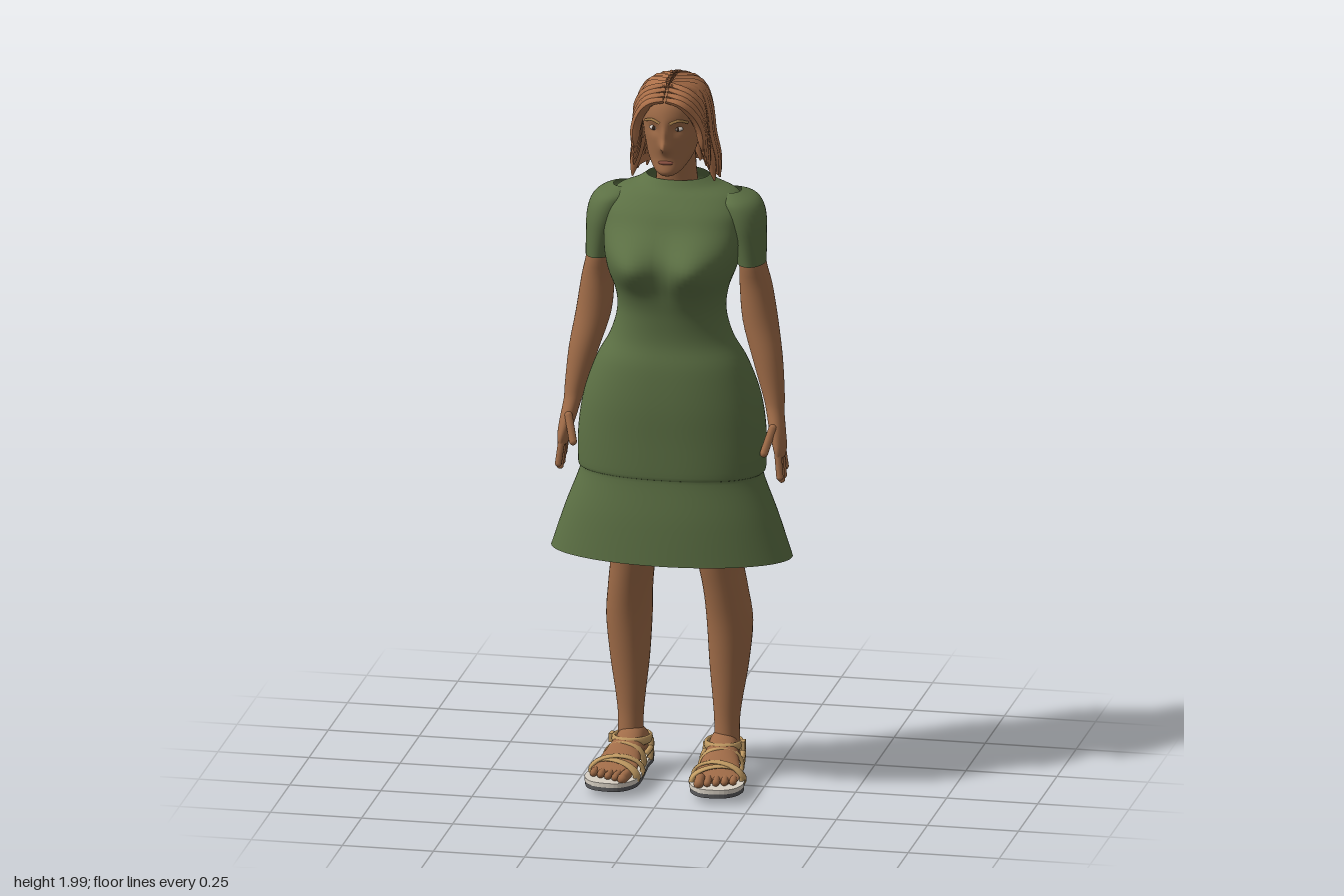
import * as THREE from 'three';

const mat = (name, color, side = THREE.FrontSide) => {
  const m = new THREE.MeshStandardMaterial({ color, side });
  m.name = name;
  return m;
};
const V = (x, y, z) => new THREE.Vector3(x, y, z);
const bump = (d, w) => Math.exp(-(d * d) / (w * w));

// Smooth interpolation of one column of a row table
function column(rows, c, t) {
  const i = Math.min(Math.floor(t), rows.length - 2), f = t - i;
  const at = (k) => rows[Math.max(0, Math.min(rows.length - 1, k))][c];
  const [a, b, d, e] = [at(i - 1), at(i), at(i + 1), at(i + 2)];
  return b + 0.5 * f * (d - a + f * (2 * a - 5 * b + 4 * d - e + f * (3 * (b - d) + e - a)));
}

// Loft of rounded sections, rows rising in y: [y, centre x, half width, front z, back z, squareness]
function loft(rows, { n = 32, sub = 4, caps = true, shape } = {}) {
  const pos = [], idx = [], count = (rows.length - 1) * sub + 1;
  const pw = (v, p) => Math.sign(v) * Math.abs(v) ** (2 / p);
  for (let r = 0; r < count; r++) {
    const [y, cx, rx, zf, zb] = [0, 1, 2, 3, 4].map((c) => column(rows, c, r / sub));
    const p = rows[0].length > 5 ? column(rows, 5, r / sub) : 2;
    for (let i = 0; i < n; i++) {
      const a = (i / n) * Math.PI * 2;
      const v = V(cx + rx * pw(Math.sin(a), p), y, (zf + zb) / 2 + ((zf - zb) / 2) * pw(Math.cos(a), p));
      if (shape) shape(v, Math.cos(a));
      pos.push(v.x, v.y, v.z);
      if (r < count - 1) {
        const q = r * n + i, s = r * n + ((i + 1) % n);
        idx.push(q, s, q + n, s, s + n, q + n);
      }
    }
  }
  if (caps) for (const r of [0, count - 1]) {
    const [y, cx, , zf, zb] = rows[r ? rows.length - 1 : 0], c = pos.length / 3;
    pos.push(cx, y, (zf + zb) / 2);
    for (let i = 0; i < n; i++) {
      const q = r * n + i, s = r * n + ((i + 1) % n);
      idx.push(...(r ? [q, s, c] : [s, q, c]));
    }
  }
  const g = new THREE.BufferGeometry();
  g.setAttribute('position', new THREE.Float32BufferAttribute(pos, 3));
  g.setIndex(idx);
  g.computeVertexNormals();
  return g;
}

// Tapering lock along a curve
function lock(points, radius) {
  const curve = new THREE.CatmullRomCurve3(points), segs = 18, sides = 7;
  const g = new THREE.TubeGeometry(curve, segs, radius, sides), p = g.attributes.position;
  for (let i = 0; i < p.count; i++) {
    const t = Math.floor(i / (sides + 1)) / segs, c = curve.getPointAt(t);
    const k = (0.55 + 0.45 * Math.min(1, t * 3)) * (t > 0.75 ? 1 - ((t - 0.75) / 0.25) ** 2 * 0.85 : 1);
    const v = V(0, 0, 0).fromBufferAttribute(p, i).sub(c).multiplyScalar(k).add(c);
    p.setXYZ(i, v.x, v.y, v.z);
  }
  g.computeVertexNormals();
  return g;
}

// Capsule between two points, for fingers and toes
function digit(a, b, r) {
  const d = b.clone().sub(a), g = new THREE.CapsuleGeometry(r, d.length(), 4, 10);
  g.applyQuaternion(new THREE.Quaternion().setFromUnitVectors(V(0, 1, 0), d.normalize()));
  const m = a.clone().add(b).multiplyScalar(0.5);
  return g.translate(m.x, m.y, m.z);
}

export function createModel() {
  const model = new THREE.Group();
  const skin = mat('skin', 0xa06c48), hair = mat('hair', 0xac7049, THREE.DoubleSide);
  const cloth = mat('green cloth', 0x5c7044, THREE.DoubleSide), leather = mat('tan leather', 0xc09a62);
  const rubber = mat('grey sole', 0x5a5a5c), cream = mat('cream insole', 0xd8d0c4);
  const white = mat('eye white', 0xd8d0c8), dark = mat('iris', 0x3a2a20);
  const lip = mat('lips', 0x8a5040), brow = mat('brows', 0xa9814c);
  const add = (parent, name, geo, m) => {
    const mesh = new THREE.Mesh(geo, m);
    mesh.name = name;
    parent.add(mesh);
    return mesh;
  };
  const group = (name, parent = model) => {
    const g = new THREE.Group();
    g.name = name;
    parent.add(g);
    return g;
  };
  const ball = (x, y, z, sx, sy, sz) => new THREE.SphereGeometry(1, 20, 14).scale(sx, sy, sz).translate(x, y, z);

  // Dress: flared skirt, small ledge at the hips, bust and seat
  add(model, 'dress', loft([
    [0.66, 0, 0.33, 0.175, -0.14, 2], [0.78, 0, 0.29, 0.166, -0.128, 2.1], [0.885, 0, 0.25, 0.152, -0.115, 2.2],
    [0.905, 0, 0.255, 0.156, -0.128, 2.3], [1.0, 0, 0.255, 0.157, -0.135, 2.3], [1.1, 0, 0.24, 0.158, -0.14, 2.3],
    [1.2, 0, 0.205, 0.15, -0.12, 2.3], [1.27, 0, 0.167, 0.136, -0.098, 2.2], [1.34, 0, 0.147, 0.138, -0.1, 2.2],
    [1.4, 0, 0.151, 0.145, -0.118, 2.3], [1.46, 0, 0.172, 0.148, -0.138, 2.4], [1.52, 0, 0.185, 0.138, -0.148, 2.5],
    [1.58, 0, 0.19, 0.1, -0.155, 2.5], [1.62, 0, 0.188, 0.076, -0.157, 2.4], [1.655, 0, 0.165, 0.045, -0.152, 2.2],
    [1.677, 0, 0.115, 0.022, -0.142, 2], [1.697, 0, 0.085, 0.008, -0.13, 2],
  ], {
    n: 72, sub: 5, caps: false,
    shape: (v, c) => {
      const sides = (w) => bump(Math.abs(v.x) - 0.085, w);
      if (c > 0) v.z += 0.052 * sides(0.07) * bump(v.y - 1.49, 0.065);
      else v.z -= 0.054 * sides(0.085) * bump(v.y - 1.07, 0.095);
    },
  }), cloth);

  // Neck and head, with nose, brow, sockets and chin shaped into the face
  const head = group('head');
  add(head, 'neck', loft([[1.62, 0, 0.07, 0.0, -0.12], [1.69, 0, 0.056, 0.005, -0.1], [1.8, 0, 0.052, 0.03, -0.09]]), skin);
  add(head, 'face', loft([
    [1.735, 0, 0.018, 0.096, 0.06], [1.748, 0, 0.038, 0.106, 0.01], [1.78, 0, 0.06, 0.102, -0.05],
    [1.815, 0, 0.07, 0.107, -0.085], [1.85, 0, 0.077, 0.111, -0.1], [1.9, 0, 0.08, 0.116, -0.11],
    [1.945, 0, 0.071, 0.1, -0.1], [1.98, 0, 0.035, 0.055, -0.05],
  ], {
    n: 96, sub: 6,
    shape: (v, c) => {
      if (c <= 0) return;
      const ax = Math.abs(v.x);
      v.z += bump(v.x, 0.012) * (0.032 * bump(v.y - 1.822, 0.016) + 0.015 * bump(v.y - 1.85, 0.028));
      v.z -= 0.009 * bump(ax - 0.033, 0.018) * bump(v.y - 1.87, 0.015);
    },
  }), skin);
  add(head, 'mouth', ball(0, 1.774, 0.1, 0.021, 0.006, 0.007), lip);
  for (const s of [1, -1]) {
    add(head, 'eye', ball(s * 0.033, 1.87, 0.093, 0.013, 0.007, 0.008), white);
    add(head, 'iris', ball(s * 0.033, 1.87, 0.098, 0.005, 0.006, 0.004), dark);
    add(head, 'eyebrow', new THREE.TubeGeometry(new THREE.CatmullRomCurve3(
      [V(s * 0.013, 1.888, 0.114), V(s * 0.036, 1.896, 0.107), V(s * 0.058, 1.888, 0.088)]), 8, 0.004, 6), brow);
    add(head, 'ear', ball(s * 0.081, 1.845, 0.018, 0.01, 0.03, 0.018).rotateY(0), skin);
  }

  // Bobbed hair: cap, rear curtain and heavy locks fanning from a middle parting
  const bob = group('hair', head);
  add(bob, 'cap', new THREE.SphereGeometry(1, 32, 16, 0, Math.PI * 2, 0, Math.PI * 0.36)
    .scale(0.089, 0.115, 0.125).translate(0, 1.872, -0.012), hair);
  const curtain = new THREE.CylinderGeometry(1, 1.18, 0.22, 32, 4, true, Math.PI * 0.46, Math.PI * 1.08);
  add(bob, 'curtain', curtain.scale(0.088, 1, 0.098).translate(0, 1.825, -0.035), hair);
  for (const s of [1, -1]) {
    const count = 12;
    for (let i = 0; i < count; i++) {
      const u = i / (count - 1), a = THREE.MathUtils.degToRad(70 + 107 * u);
      const ring = (y, rx, cz, rz) => V(s * rx * Math.sin(a), y, cz + rz * Math.cos(a));
      const z0 = 0.07 - 0.12 * u;
      add(bob, 'longLock', lock([
        V(s * 0.004, 1.986 - 1.6 * (z0 - 0.01) ** 2, z0),
        ring(1.955, 0.068, -0.005 - 0.012 * u, 0.085), ring(1.9, 0.086, -0.022, 0.108),
        ring(1.82, 0.094, -0.032, 0.108), ring(1.745, 0.112, -0.038, 0.108),
        ring(1.7 + 0.012 * (i % 2), 0.12, -0.038, 0.106),
      ], 0.0165 + 0.002 * (i % 2)), hair);
    }
    // Shorter locks framing the forehead and temples
    for (let i = 0; i < 4; i++) {
      const k = i / 3;
      add(bob, 'frontLock', lock([
        V(s * 0.004, 1.952 + 0.03 * k, 0.108 - 0.045 * k), V(s * (0.04 + 0.012 * k), 1.945 + 0.023 * k, 0.112 - 0.04 * k),
        V(s * (0.073 + 0.01 * k), 1.905 + 0.02 * k, 0.085 - 0.033 * k), V(s * 0.09, 1.855, 0.066 - 0.03 * k),
        V(s * (0.093 + 0.01 * k), 1.8 - 0.06 * k, 0.06 - 0.035 * k),
      ], 0.014), hair);
    }
  }

  for (const s of [1, -1]) {
    const side = s > 0 ? 'left' : 'right';
    // Short sleeve
    add(model, side + 'Sleeve', loft([
      [1.47, s * 0.208, 0.038, 0.028, -0.1], [1.53, s * 0.2, 0.046, 0.034, -0.115], [1.58, s * 0.19, 0.055, 0.038, -0.128],
      [1.62, s * 0.178, 0.058, 0.034, -0.135], [1.645, s * 0.165, 0.05, 0.02, -0.13], [1.662, s * 0.15, 0.025, -0.02, -0.09],
    ], { caps: false }), cloth);

    // Arm and hand
    const arm = group(side + 'Arm');
    add(arm, 'arm', loft([
      [0.945, s * 0.298, 0.013, 0.056, -0.018], [0.97, s * 0.296, 0.017, 0.058, -0.027], [1.01, s * 0.288, 0.021, 0.046, -0.031],
      [1.06, s * 0.278, 0.024, 0.022, -0.042], [1.1, s * 0.272, 0.029, 0.014, -0.053], [1.2, s * 0.252, 0.041, 0.008, -0.074],
      [1.3, s * 0.229, 0.048, -0.001, -0.098], [1.4, s * 0.217, 0.044, -0.0, -0.098], [1.47, s * 0.209, 0.036, 0.01, -0.09],
      [1.56, s * 0.2, 0.036, 0.01, -0.09],
    ]), skin);
    for (let i = 0; i < 4; i++) {
      const z = 0.047 - i * 0.0205, drop = [0.895, 0.882, 0.887, 0.905][i];
      add(arm, 'finger', digit(V(s * 0.297, 0.955, z), V(s * 0.304, drop, z + 0.008 - i * 0.003), 0.0095), skin);
    }
    add(arm, 'thumb', digit(V(s * 0.28, 1.025, 0.035), V(s * 0.262, 0.962, 0.064), 0.011), skin);

    // Leg
    const leg = group(side + 'Leg');
    add(leg, 'leg', loft([
      [0.06, s * 0.133, 0.036, -0.03, -0.115], [0.15, s * 0.132, 0.034, -0.036, -0.11], [0.22, s * 0.133, 0.04, -0.034, -0.118],
      [0.32, s * 0.136, 0.053, -0.026, -0.14], [0.44, s * 0.138, 0.062, -0.01, -0.156], [0.54, s * 0.13, 0.06, 0.012, -0.138],
      [0.64, s * 0.118, 0.062, 0.036, -0.12], [0.8, s * 0.115, 0.078, 0.07, -0.1], [1.0, s * 0.115, 0.09, 0.09, -0.1],
    ]), skin);

    // Foot: section rows run from heel to toes, then are laid forward
    const foot = group(side + 'Foot', leg);
    foot.position.x = s * 0.132;
    foot.rotation.y = s * 0.1;
    add(foot, 'foot', loft([
      [-0.135, 0, 0.02, -0.05, -0.08], [-0.115, 0, 0.036, -0.043, -0.115], [-0.07, 0, 0.04, -0.043, -0.14],
      [-0.02, 0, 0.044, -0.043, -0.125], [0.05, 0, 0.056, -0.043, -0.092], [0.1, 0, 0.062, -0.043, -0.074],
      [0.132, 0, 0.056, -0.043, -0.062],
    ]).rotateX(Math.PI / 2), skin);
    for (let i = 0; i < 5; i++) {
      const x = -s * (0.044 - i * 0.0225), r = i ? 0.0105 : 0.014;
      add(foot, 'toe', digit(V(x, 0.056, 0.12), V(x, 0.054, 0.165 - i * 0.007), r), skin);
    }

    // Sandal: two-layer sole, instep bands that pass beneath it, ankle strap
    const sandal = group(side + 'Sandal', foot);
    const outline = [[0, 0.155], [0.042, 0.125], [0.05, 0.05], [0.07, -0.07], [0.07, -0.14], [0.035, -0.187]];
    const pts = [...outline, ...outline.slice(1).reverse().map(([x, y]) => [-x, y])].map(([x, y]) => new THREE.Vector2(x, y));
    const sole = (y, depth, k) => new THREE.ExtrudeGeometry(
      new THREE.Shape(new THREE.SplineCurve([...pts, pts[0]]).getPoints(60)), { depth, bevelEnabled: false })
      .rotateX(-Math.PI / 2).scale(k, 1, k).translate(0, y, 0);
    add(sandal, 'insole', sole(0.034, 0.012, 1), cream);
    add(sandal, 'outsole', sole(0.022, 0.012, 0.985), rubber);
    for (const [z, rx, top, turn] of [[0.095, 0.072, 0.09, 0.28], [0.075, 0.07, 0.096, -0.28], [0.005, 0.057, 0.115, 0.12]]) {
      const band = add(sandal, 'band', new THREE.TorusGeometry(1, 0.1, 8, 36)
        .scale(rx, (top - 0.008) / 2.2, 0.15), leather);
      band.position.set(0, (top + 0.008) / 2 - 0.004, z);
      band.rotation.y = turn * s;
    }
    add(sandal, 'ankleStrap', new THREE.TorusGeometry(1, 0.12, 8, 36).rotateX(Math.PI / 2)
      .scale(0.048, 0.1, 0.065).rotateX(-0.08).translate(0, 0.1, -0.062), leather);
    for (const x of [-1, 1]) {
      add(sandal, 'sideStrap', new THREE.TubeGeometry(new THREE.CatmullRomCurve3(
        [V(x * 0.048, 0.1, -0.075), V(x * 0.05, 0.07, -0.07), V(x * 0.047, 0.04, -0.07)]), 8, 0.009, 8), leather);
      add(sandal, 'heelStrap', new THREE.TubeGeometry(new THREE.CatmullRomCurve3(
        [V(x * 0.054, 0.07, 0), V(x * 0.05, 0.075, -0.07), V(x * 0.03, 0.075, -0.125), V(0, 0.075, -0.138)]), 14, 0.008, 8), leather);
    }
    add(sandal, 'buckle', new THREE.BoxGeometry(0.01, 0.024, 0.026).translate(s * 0.054, 0.1, -0.05), leather);
  }
  return model;
}
